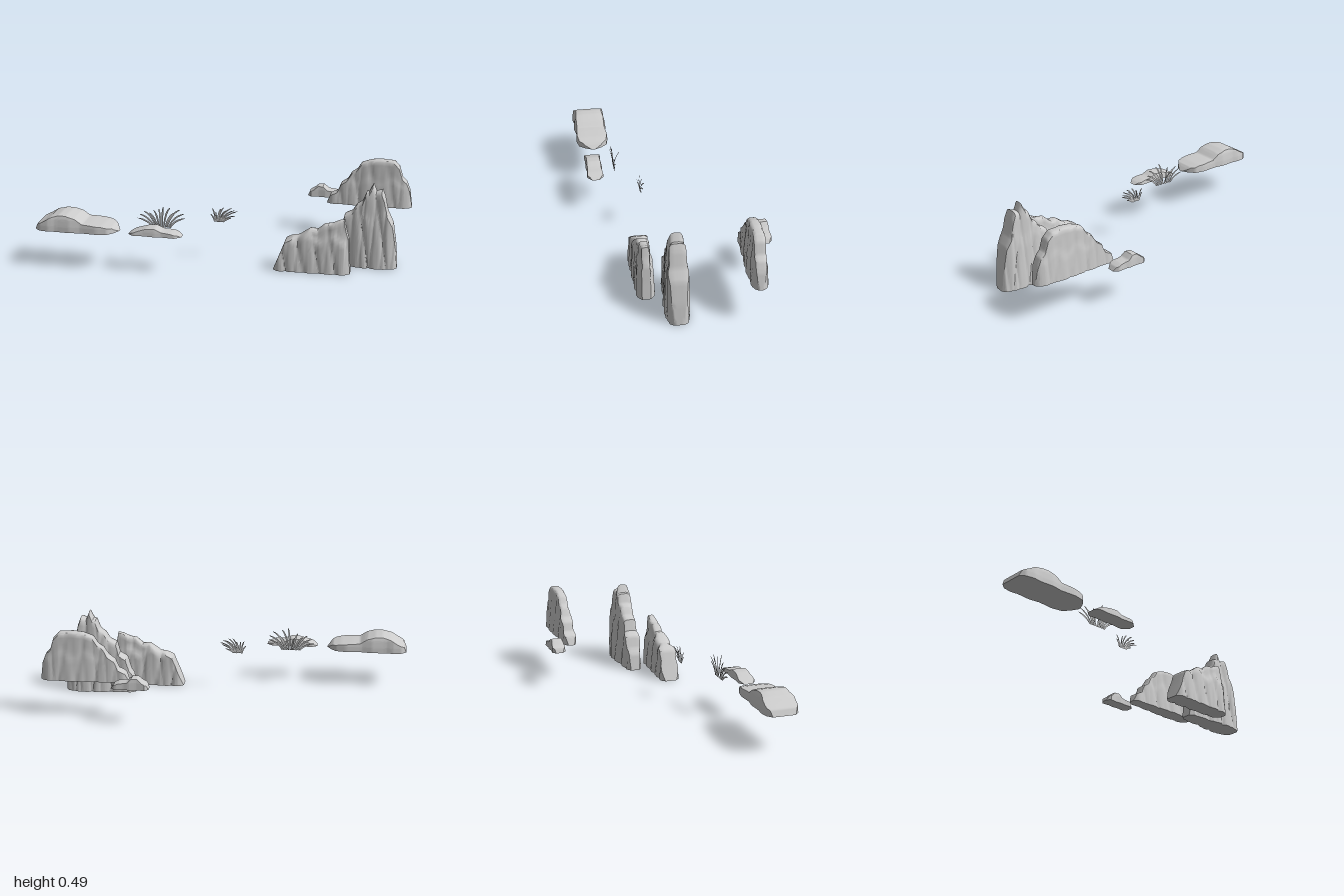
import * as THREE from 'three';
import { toCreasedNormals } from 'three/addons/utils/BufferGeometryUtils.js';

const stone = new THREE.MeshStandardMaterial({ color: 0xcccccc, side: THREE.DoubleSide });
stone.name = 'pale grey';

// Linear lookup in a list of [key, value] pairs
function lookup(list, k) {
  if (k <= list[0][0]) return list[0][1];
  for (let i = 1; i < list.length; i++) {
    const [a, va] = list[i - 1], [b, vb] = list[i];
    if (k <= b) return va + (vb - va) * (k - a) / (b - a);
  }
  return list[list.length - 1][1];
}

function gridMesh(name, rows, closed, crease) {
  const n = rows[0].length, index = [];
  for (let i = 0; i < rows.length - 1; i++) {
    for (let j = 0; j < (closed ? n : n - 1); j++) {
      const k = (j + 1) % n, a = i * n, b = a + n;
      index.push(a + j, b + j, b + k, a + j, b + k, a + k);
    }
  }
  let geo = new THREE.BufferGeometry();
  geo.setAttribute('position', new THREE.Float32BufferAttribute(rows.flat(2), 3));
  geo.setIndex(index);
  if (crease) geo = toCreasedNormals(geo.toNonIndexed(), crease);
  else geo.computeVertexNormals();
  const mesh = new THREE.Mesh(geo, stone);
  mesh.name = name;
  return mesh;
}

// Slab of rock: skyline over x, half depth by height, depth scale by x, fluted sides
function rock({ name, z, skyline, depth, scale, flutes = 0, groove = 0, slant = 0, ragged = 0 }) {
  const base = skyline[0][1], rows = [], steps = 5, levels = 14;
  const section = (x) => {
    const top = lookup(skyline, x), front = [];
    const half = (y) => {
      const wave = ragged * Math.sin(x * 47 + 1) * Math.min(1, (y - base) * 8);
      const f1 = 1 - Math.abs(Math.sin(Math.PI * (x * flutes + (y - base) * slant)));
      const f2 = 1 - Math.abs(Math.sin(Math.PI * (x * flutes * 1.7 - (y - base) * slant * 0.6 + 0.3)));
      return lookup(depth, y + wave) * lookup(scale, x) * (1 - groove * (f1 * f1 + 0.5 * f2 * f2));
    };
    for (let j = 0; j <= levels; j++) {
      const y = base + (top - base) * 0.96 * j / levels;
      front.push([x, y, half(y)]);
    }
    const w = half(top), crown = base + (top - base) * 0.99;
    front.push([x, crown, w * 0.8], [x, top, w * 0.4]);
    const back = front.map(([a, b, c]) => [a, b, -c]).reverse();
    return [...front, ...back].map(([a, b, c]) => [a, b, c + z]);
  };
  for (let i = 1; i < skyline.length; i++) {
    for (let s = i === 1 ? 0 : 1; s <= steps; s++) {
      rows.push(section(skyline[i - 1][0] + (skyline[i][0] - skyline[i - 1][0]) * s / steps));
    }
  }
  return gridMesh(name, rows, true, 0.75);
}

// Thin curved leaf narrowing to its tip
function blade(root, bend, tip, width) {
  const curve = new THREE.QuadraticBezierCurve3(...[root, bend, tip].map((p) => new THREE.Vector3(...p)));
  const rows = [];
  for (let i = 0; i <= 8; i++) {
    const t = i / 8, p = curve.getPoint(t), d = curve.getTangent(t);
    const side = new THREE.Vector3(d.y, -d.x, 0).normalize();
    const w = width * (0.6 + 0.9 * t) * Math.sqrt(1 - t) / 2;
    rows.push([[p.x + side.x * w, p.y + side.y * w, p.z], [p.x, p.y, p.z + w * 0.4],
      [p.x - side.x * w, p.y - side.y * w, p.z]]);
  }
  return gridMesh('grassBlade', rows, false);
}

// Clump of blades fanning out to the given tips
function grass(name, tips, rootX, rootY, rootZ, spread, width) {
  const clump = new THREE.Group();
  clump.name = name;
  tips.forEach((tip, i) => {
    const x = rootX + spread * (i / (tips.length - 1) - 0.5);
    const bend = [x + (tip[0] - x) * 0.3, rootY + (tip[1] - rootY) * 0.8, rootZ + (tip[2] - rootZ) * 0.4];
    clump.add(blade([x, rootY, rootZ], bend, tip, width));
  });
  return clump;
}

export function createModel() {
  const model = new THREE.Group();
  model.name = 'rocksAndGrass';

  // Tall cliffs
  model.add(rock({
    name: 'frontCliff', z: 0.221, flutes: 11, groove: 0.16, slant: 2.2, ragged: 0.02,
    skyline: [[0.29, 0], [0.325, 0.09], [0.355, 0.17], [0.40, 0.195], [0.43, 0.2], [0.49, 0.243], [0.53, 0.24],
      [0.57, 0.275], [0.61, 0.28], [0.65, 0.3], [0.675, 0.305], [0.685, 0.25], [0.7, 0.2], [0.705, 0.1], [0.712, 0]],
    depth: [[0, 0.059], [0.185, 0.049], [0.21, 0.034], [0.305, 0.026]],
    scale: [[0.29, 0.6], [0.31, 0.95], [0.35, 1], [0.6, 0.9], [0.68, 0.85], [0.712, 0.4]],
  }));
  model.add(rock({
    name: 'middleCliff', z: 0.081, flutes: 10, groove: 0.16, slant: 1.8, ragged: 0.025,
    skyline: [[0.55, 0], [0.565, 0.1], [0.585, 0.13], [0.605, 0.2], [0.645, 0.225], [0.66, 0.29], [0.7, 0.31],
      [0.725, 0.35], [0.755, 0.37], [0.775, 0.425], [0.79, 0.43], [0.81, 0.475], [0.828, 0.43], [0.86, 0.44],
      [0.875, 0.4], [0.895, 0.31], [0.925, 0.25], [0.945, 0.12], [0.955, 0]],
    depth: [[0, 0.066], [0.28, 0.054], [0.3, 0.048], [0.43, 0.042], [0.475, 0.036]],
    scale: [[0.55, 0.4], [0.58, 0.75], [0.7, 0.8], [0.78, 1], [0.9, 1], [0.94, 0.75], [0.955, 0.4]],
  }));
  model.add(rock({
    name: 'backCliff', z: -0.329, flutes: 10, groove: 0.15, slant: 2, ragged: 0.02,
    skyline: [[0.51, 0.21], [0.53, 0.26], [0.57, 0.28], [0.59, 0.33], [0.625, 0.355], [0.65, 0.4], [0.68, 0.42],
      [0.705, 0.46], [0.76, 0.48], [0.82, 0.485], [0.89, 0.48], [0.92, 0.45], [0.94, 0.385], [0.965, 0.36],
      [0.985, 0.31], [1, 0.21]],
    depth: [[0.21, 0.05], [0.34, 0.042], [0.37, 0.036], [0.485, 0.031]],
    scale: [[0.51, 0.4], [0.54, 0.75], [0.7, 0.85], [0.82, 1], [0.95, 0.9], [0.985, 0.7], [1, 0.3]],
  }));

  // Low rounded boulders
  model.add(rock({
    name: 'largeBoulder', z: 0.375,
    skyline: [[-1, 0.21], [-0.985, 0.245], [-0.95, 0.262], [-0.91, 0.288], [-0.86, 0.303], [-0.82, 0.302],
      [-0.77, 0.288], [-0.73, 0.26], [-0.69, 0.258], [-0.62, 0.252], [-0.57, 0.24], [-0.54, 0.21]],
    depth: [[0.21, 0.097], [0.24, 0.095], [0.28, 0.088], [0.305, 0.078]],
    scale: [[-1, 0.65], [-0.97, 0.92], [-0.92, 1], [-0.88, 0.94], [-0.8, 1], [-0.74, 0.9], [-0.65, 0.97],
      [-0.59, 0.85], [-0.56, 0.5], [-0.54, 0.1]],
  }));
  model.add(rock({
    name: 'smallBoulder', z: 0.395,
    skyline: [[-0.48, 0.21], [-0.46, 0.222], [-0.43, 0.234], [-0.38, 0.25], [-0.33, 0.253], [-0.29, 0.236],
      [-0.24, 0.232], [-0.205, 0.222], [-0.185, 0.21]],
    depth: [[0.21, 0.048], [0.235, 0.044], [0.255, 0.038]],
    scale: [[-0.48, 0.5], [-0.45, 1], [-0.4, 0.92], [-0.33, 1], [-0.29, 0.9], [-0.22, 1], [-0.185, 0.4]],
  }));
  model.add(rock({
    name: 'backBoulder', z: -0.434,
    skyline: [[0.385, 0.21], [0.395, 0.235], [0.42, 0.25], [0.445, 0.273], [0.475, 0.274], [0.5, 0.25],
      [0.55, 0.243], [0.575, 0.232], [0.592, 0.21]],
    depth: [[0.21, 0.039], [0.25, 0.037], [0.275, 0.033]],
    scale: [[0.385, 0.5], [0.405, 1], [0.45, 0.9], [0.49, 1], [0.52, 0.9], [0.565, 1], [0.592, 0.5]],
  }));

  // Grass clumps
  model.add(grass('tallGrass', [
    [-0.465, 0.255, 0.28], [-0.455, 0.28, 0.283], [-0.43, 0.3, 0.285], [-0.4, 0.29, 0.28], [-0.37, 0.31, 0.29],
    [-0.355, 0.3, 0.232], [-0.31, 0.338, 0.304], [-0.275, 0.33, 0.29], [-0.25, 0.3, 0.278], [-0.22, 0.32, 0.285],
    [-0.2, 0.295, 0.28], [-0.195, 0.27, 0.283]], -0.33, 0.21, 0.28, 0.1, 0.013));
  model.add(grass('shortGrass', [
    [-0.08, 0.265, 0.165], [-0.07, 0.295, 0.155], [-0.045, 0.285, 0.18], [-0.02, 0.295, 0.15], [0, 0.308, 0.165],
    [0.025, 0.3, 0.183], [0.04, 0.3, 0.145], [0.06, 0.295, 0.17], [0.075, 0.285, 0.155], [0.065, 0.265, 0.175],
    [0.04, 0.245, 0.16]], -0.03, 0.22, 0.162, 0.05, 0.01));
  return model;
}
